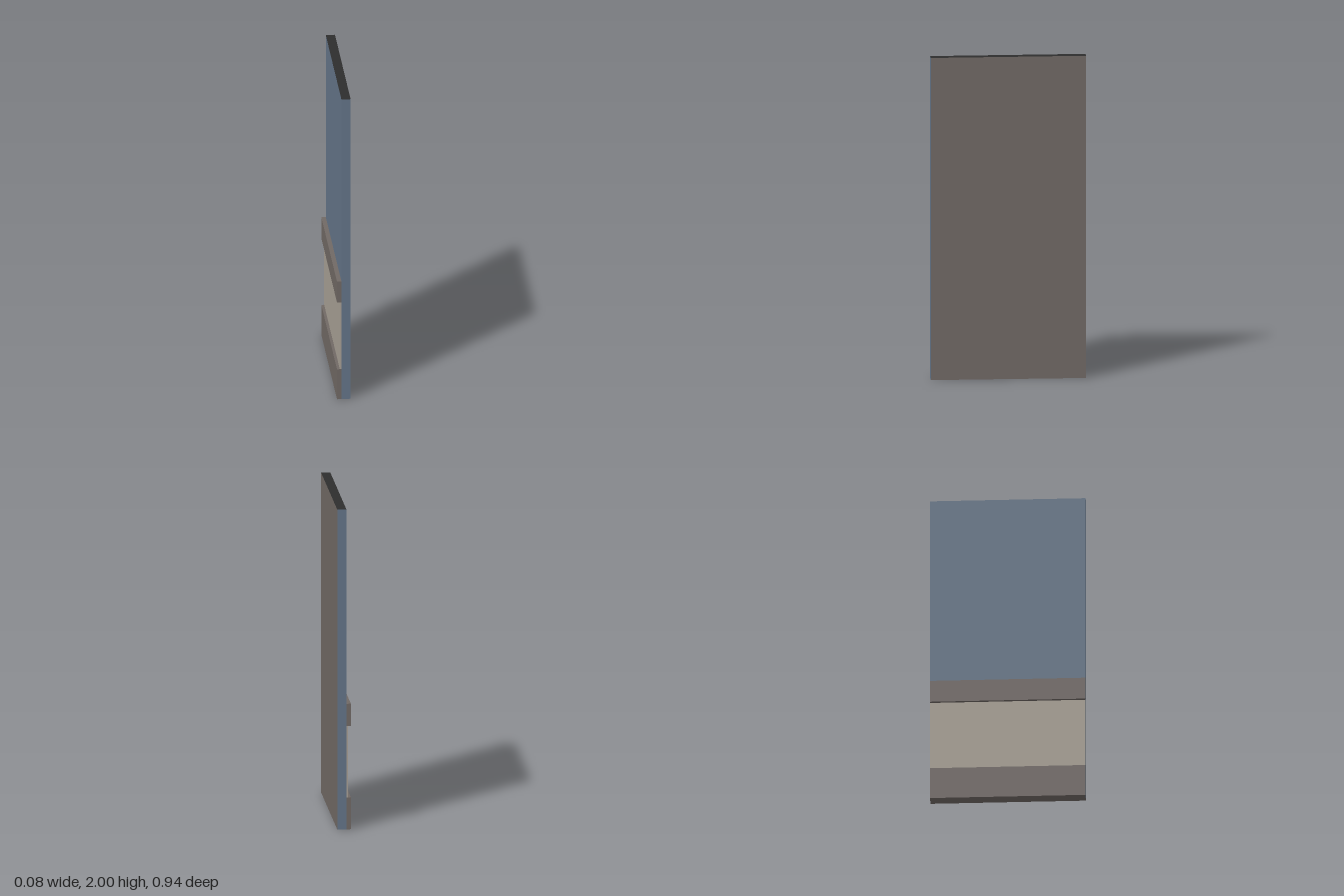
import * as THREE from 'three';

const DEPTH = 0.945;   // wall length along z
const FACE = -0.015;   // x of the decorated wall face

function material(name, color) {
  const m = new THREE.MeshStandardMaterial({ color });
  m.name = name;
  return m;
}

// Box given by its x and y extents, running the full length of the wall
function slab(name, x0, x1, y0, y1, mat) {
  const mesh = new THREE.Mesh(new THREE.BoxGeometry(x1 - x0, y1 - y0, DEPTH), mat);
  mesh.position.set((x0 + x1) / 2, (y0 + y1) / 2, 0);
  mesh.name = name;
  return mesh;
}

export function createModel() {
  const brown = material('brownWood', 0x716965);
  const blue = material('bluePaint', 0x647589);
  const grey = material('greyPanel', 0xa8a095);
  const dark = material('darkCap', 0x2e2e2e);

  const group = new THREE.Group();
  group.name = 'wallPanel';

  // Wall: brown back and underside, blue painted face and ends, dark top
  group.add(slab('wall', FACE, 0.041, 0, 2, [brown, blue, dark, brown, blue, blue]));

  // Wainscot: skirting board, thin infill panel and upper rail
  group.add(slab('skirtingBoard', -0.042, FACE, 0, 0.2, brown));
  group.add(slab('infillPanel', -0.025, FACE, 0.2, 0.645, grey));
  group.add(slab('upperRail', -0.042, FACE, 0.645, 0.785, brown));

  return group;
}
